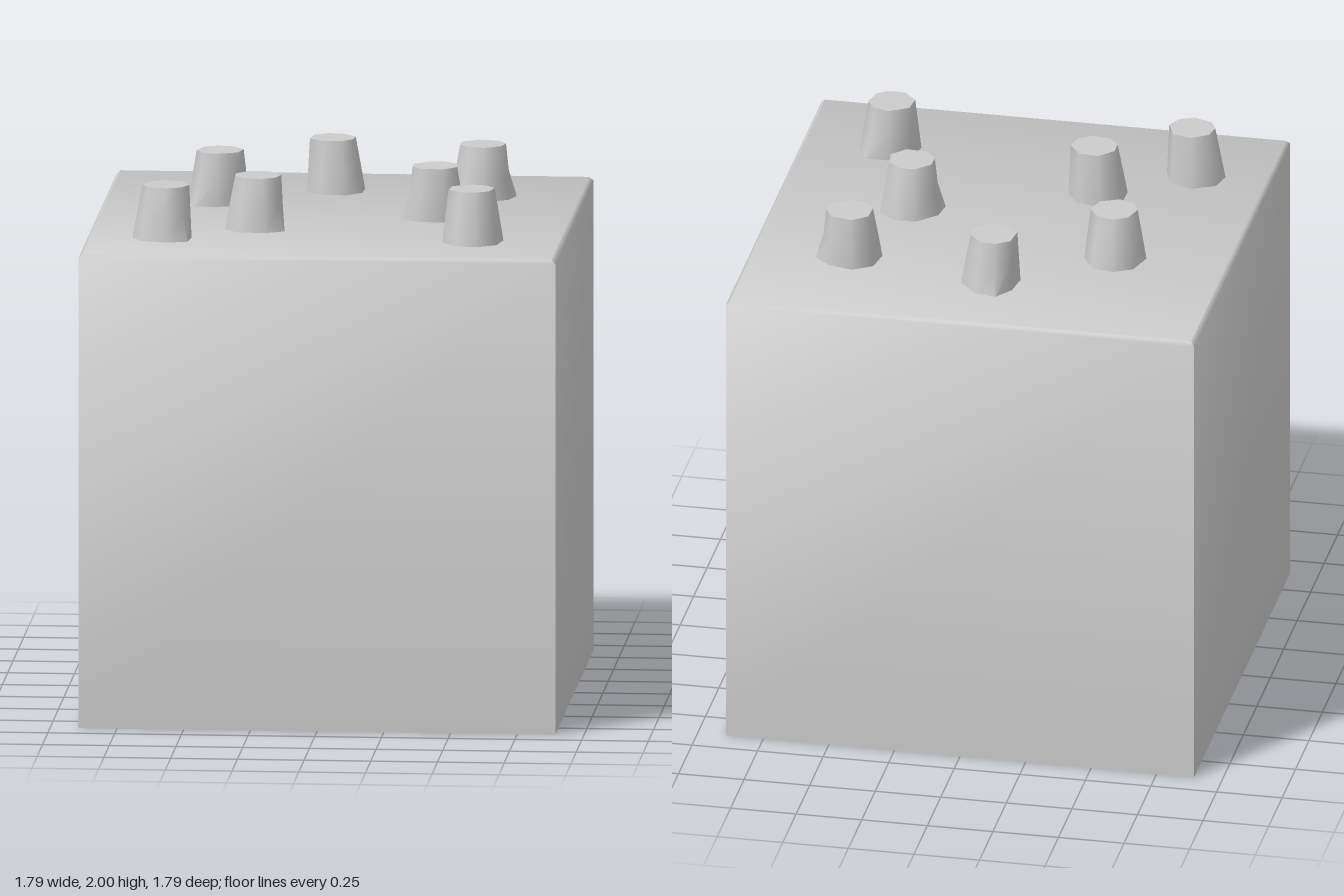
import * as THREE from 'three';
import { toCreasedNormals } from 'three/addons/utils/BufferGeometryUtils.js';

const material = new THREE.MeshStandardMaterial({ color: 0xcccccc });
const HALF = 0.893, DECK = 1.8, TOP = 2, BEVEL = 0.015;

// Cube with a fine chamfer around its upper rim only
function blockGeometry() {
  const geo = new THREE.BoxGeometry(HALF * 2, DECK, HALF * 2, 1, 2, 1);
  const p = geo.attributes.position;
  geo.translate(0, DECK / 2, 0);
  for (let i = 0; i < p.count; i++) {
    const y = p.getY(i);
    if (y > DECK - 0.01) {
      p.setX(i, Math.sign(p.getX(i)) * (HALF - BEVEL));
      p.setZ(i, Math.sign(p.getZ(i)) * (HALF - BEVEL));
    } else if (y > 0.1) p.setY(i, DECK - BEVEL);
  }
  return toCreasedNormals(geo, 1.0);
}

// Uneven eight-sided stub: the foot winds inward from one pulled-out corner
const FOOT_ANGLES = [0, 38, 88, 126, 165, 213, 262, 318];
const FOOT_RADII = [0.13, 0.122, 0.125, 0.127, 0.125, 0.112, 0.1, 0.097];
const TOP_RADIUS = 0.088;

function stubGeometry() {
  const n = FOOT_ANGLES.length, points = [], index = [];
  for (const [y, blend] of [[DECK - 0.005, 1], [DECK + 0.1, 0.5], [TOP, 0]]) {
    for (let k = 0; k < n; k++) {
      // the pulled corner flares only close to the deck
      const t = k === 0 && blend === 0.5 ? 0.25 : blend;
      const a = THREE.MathUtils.degToRad(FOOT_ANGLES[k]);
      const r = THREE.MathUtils.lerp(TOP_RADIUS, FOOT_RADII[k], t);
      points.push(r * Math.cos(a), y, r * Math.sin(a));
    }
  }
  points.push(0, TOP, 0);
  for (let k = 0; k < n; k++) {
    const j = (k + 1) % n;
    for (const s of [0, n]) {
      index.push(s + k, s + n + k, s + j, s + j, s + n + k, s + n + j);
    }
    index.push(3 * n, 2 * n + j, 2 * n + k);
  }
  const geo = new THREE.BufferGeometry();
  geo.setAttribute('position', new THREE.Float32BufferAttribute(points, 3));
  geo.setIndex(index);
  return toCreasedNormals(geo, 1.1);
}

export function createModel() {
  const model = new THREE.Group();
  model.name = 'studdedBlock';

  const block = new THREE.Mesh(blockGeometry(), material);
  block.name = 'block';
  model.add(block);

  // Scattered stubs: x, z, direction of the pulled corner in degrees
  const stubs = [
    [-0.055, -0.526, -103],
    [0.514, -0.435, -7],
    [-0.452, -0.23, 135],
    [0.376, 0.038, 164],
    [-0.27, 0.287, 35],
    [-0.596, 0.512, 47],
    [0.548, 0.512, -51],
  ];
  const geo = stubGeometry();
  stubs.forEach(([x, z, turn], i) => {
    const stub = new THREE.Mesh(geo, material);
    stub.name = `stub${i + 1}`;
    stub.position.set(x, 0, z);
    stub.rotation.y = -THREE.MathUtils.degToRad(turn);
    model.add(stub);
  });
  return model;
}
